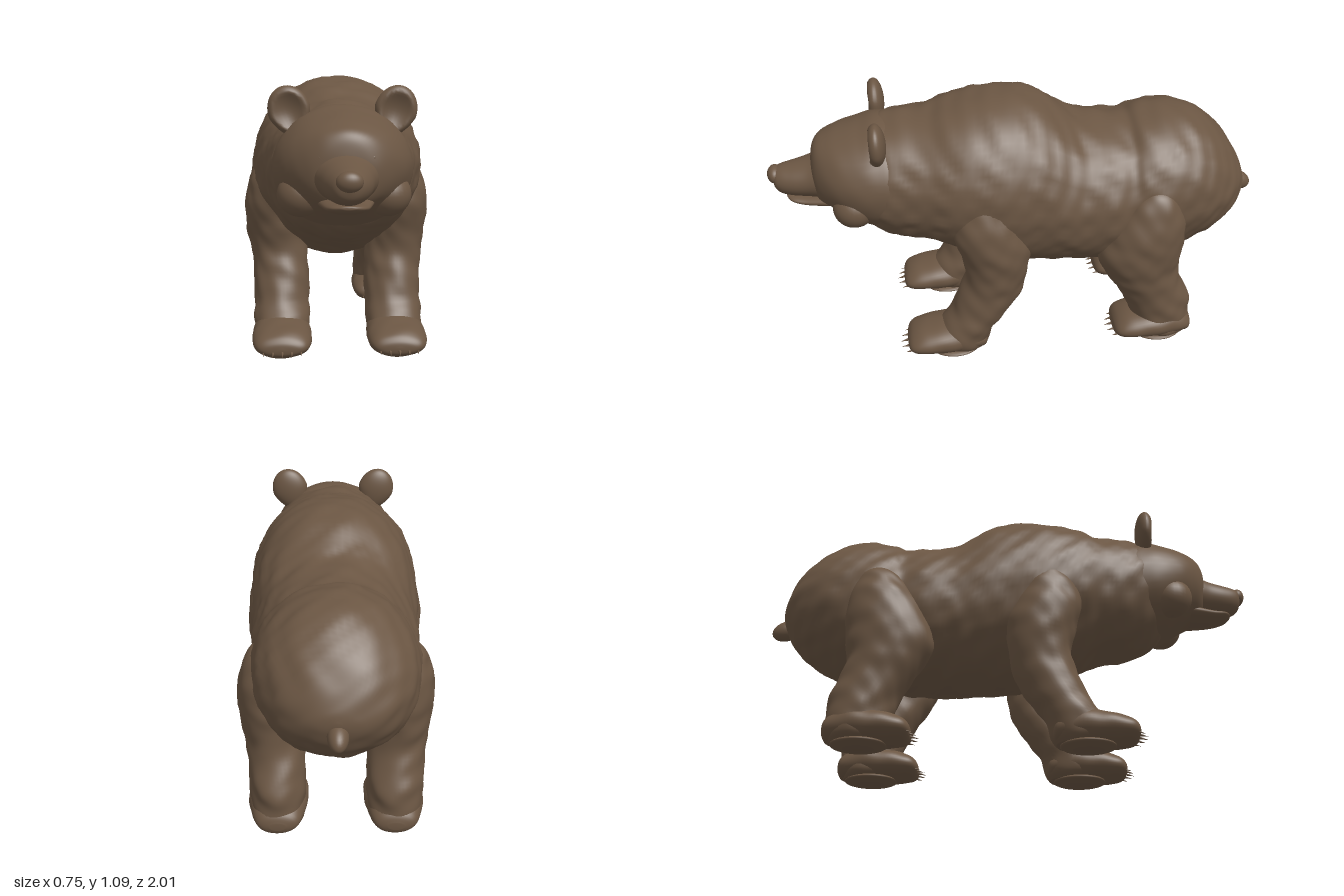
import * as THREE from 'three';

const fur = new THREE.MeshStandardMaterial({ color: 0x6b5643 });
fur.name = 'brown fur';

// Smooth blend between the rows of a section table
function sampleRows(rows, t) {
  const f = t * (rows.length - 1), i = Math.min(Math.floor(f), rows.length - 2), u = f - i;
  const at = k => rows[Math.max(0, Math.min(rows.length - 1, k))];
  return rows[0].map((_, c) => {
    const a = at(i - 1)[c], b = at(i)[c], d = at(i + 1)[c], e = at(i + 2)[c];
    return b + 0.5 * u * (d - a + u * (2 * a - 5 * b + 4 * d - e + u * (3 * (b - d) + e - a)));
  });
}

// Gentle clumps in the coat
function clump(x, y, z) {
  return Math.sin(31 * x + 17 * z + 2 * Math.sin(19 * y)) * Math.sin(27 * y - 13 * z) * 0.6
    + Math.sin(61 * z + 23 * x) * Math.sin(53 * y + 37 * x) * 0.4;
}

// Skin over oval sections. Row: [station, low, high, centre x, half width].
// Along 'z' low/high are heights; along 'y' they are back/front depths.
function loft(axis, rows, rough = 0.006, steps = 6, sides = 48) {
  const n = (rows.length - 1) * steps, pos = [], index = [];
  for (let i = 0; i <= n; i++) {
    const [s, lo, hi, cx, hw] = sampleRows(rows, i / n);
    const mid = (lo + hi) / 2, half = Math.max(0.001, (hi - lo) / 2), w = Math.max(0.001, hw);
    for (let j = 0; j < sides; j++) {
      const a = j / sides * Math.PI * 2, c = Math.cos(a), d = Math.sin(a);
      const x = cx + w * c, q = mid + half * d * (axis === 'z' ? 1 : -1);
      const p = axis === 'z' ? [x, q, s] : [x, s, q];
      const k = rough * clump(...p) * Math.min(1, half / 0.06);
      p[0] += k * c;
      p[axis === 'z' ? 1 : 2] += k * d * (axis === 'z' ? 1 : -1);
      pos.push(...p);
    }
  }
  for (let i = 0; i < n; i++) for (let j = 0; j < sides; j++) {
    const a = i * sides + j, b = i * sides + (j + 1) % sides;
    index.push(a, b, a + sides, b, b + sides, a + sides);
  }
  // Close both ends
  [[0, 0], [n, 1]].forEach(([row, end]) => {
    const [s, lo, hi, cx] = rows[end ? rows.length - 1 : 0], m = (lo + hi) / 2, v = pos.length / 3;
    pos.push(cx, axis === 'z' ? m : s, axis === 'z' ? s : m);
    for (let j = 0; j < sides; j++) {
      const a = row * sides + j, b = row * sides + (j + 1) % sides;
      end ? index.push(a, b, v) : index.push(b, a, v);
    }
  });
  const g = new THREE.BufferGeometry();
  g.setAttribute('position', new THREE.Float32BufferAttribute(pos, 3));
  g.setIndex(index);
  // Rows given in falling order turn the faces over
  if (rows[0][0] > rows[rows.length - 1][0]) {
    for (let i = 0; i < index.length; i += 3) [index[i], index[i + 1]] = [index[i + 1], index[i]];
    g.setIndex(index);
  }
  g.computeVertexNormals();
  return g;
}

export function createModel() {
  const bear = new THREE.Group();
  bear.name = 'bear';
  const add = (name, geometry, parent = bear) => {
    const m = new THREE.Mesh(geometry, fur);
    m.name = name;
    parent.add(m);
    return m;
  };
  const ball = (name, x, y, z, rx, ry, rz, parent = bear) => {
    const m = add(name, new THREE.SphereGeometry(1, 28, 18), parent);
    m.position.set(x, y, z);
    m.scale.set(rx, ry, rz);
    return m;
  };

  // Rump, belly, shoulder hump and neck ruff
  add('body', loft('z', [
    [-0.955, 0.64, 0.66, 0, 0.01], [-0.945, 0.6, 0.7, 0, 0.08], [-0.91, 0.53, 0.78, 0, 0.16],
    [-0.85, 0.465, 0.865, 0, 0.225], [-0.77, 0.415, 0.935, 0, 0.275], [-0.68, 0.375, 0.975, 0, 0.302],
    [-0.58, 0.355, 0.985, 0, 0.312], [-0.49, 0.345, 0.972, 0, 0.31], [-0.44, 0.335, 0.95, 0, 0.308],
    [-0.36, 0.33, 0.952, 0, 0.322], [-0.25, 0.328, 0.965, 0, 0.325], [-0.18, 0.33, 1.0, 0, 0.328],
    [-0.08, 0.338, 1.065, 0, 0.335], [0.04, 0.35, 1.088, 0, 0.34], [0.16, 0.39, 1.078, 0, 0.337],
    [0.28, 0.44, 1.05, 0, 0.318], [0.37, 0.475, 1.018, 0, 0.292], [0.47, 0.485, 1.012, 0, 0.272],
    [0.56, 0.52, 0.99, 0, 0.245], [0.62, 0.565, 0.92, 0, 0.18], [0.65, 0.62, 0.82, 0, 0.08],
    [0.655, 0.68, 0.74, 0, 0.01]], 0.008, 6, 72));
  const tail = ball('tail', 0, 0.605, -0.945, 0.038, 0.042, 0.065);
  tail.rotation.x = -0.35;

  // Head with a steep forehead, muzzle and jaw
  add('head', loft('z', [
    [0.4, 0.6, 0.92, 0, 0.2], [0.48, 0.55, 0.985, 0, 0.25], [0.56, 0.545, 1.003, 0, 0.256],
    [0.63, 0.572, 0.985, 0, 0.248], [0.7, 0.612, 0.967, 0, 0.222], [0.75, 0.638, 0.95, 0, 0.187],
    [0.79, 0.655, 0.93, 0, 0.142], [0.812, 0.68, 0.9, 0, 0.1], [0.822, 0.73, 0.85, 0, 0.05],
    [0.825, 0.78, 0.8, 0, 0.005]], 0.002));
  add('muzzle', loft('z', [
    [0.68, 0.67, 0.87, 0, 0.13], [0.78, 0.675, 0.86, 0, 0.118], [0.84, 0.68, 0.838, 0, 0.098],
    [0.9, 0.685, 0.822, 0, 0.083], [0.945, 0.695, 0.812, 0, 0.066], [0.97, 0.715, 0.8, 0, 0.046],
    [0.98, 0.745, 0.775, 0, 0.01]], 0));
  add('jaw', loft('z', [
    [0.66, 0.64, 0.72, 0, 0.12], [0.76, 0.642, 0.71, 0, 0.1], [0.85, 0.647, 0.695, 0, 0.078],
    [0.905, 0.66, 0.692, 0, 0.06], [0.928, 0.672, 0.688, 0, 0.03], [0.932, 0.678, 0.682, 0, 0.004]], 0));
  ball('nose', 0, 0.775, 0.97, 0.046, 0.036, 0.03);

  for (const s of [1, -1]) {
    const side = s > 0 ? 'left' : 'right';
    ball(side + 'Cheek', s * 0.155, 0.69, 0.66, 0.085, 0.08, 0.085);
    ball(side + 'Eye', s * 0.09, 0.835, 0.798, 0.014, 0.015, 0.014);

    // Cupped round ear: the front half of a flat ball is pressed in
    const cup = new THREE.SphereGeometry(1, 32, 24), p = cup.attributes.position;
    for (let i = 0; i < p.count; i++) {
      const x = p.getX(i), y = p.getY(i), z = p.getZ(i);
      if (z > 0) p.setZ(i, z - 0.9 * Math.max(0, 1 - 1.7 * (x * x + y * y)));
      if (y < 0) p.setX(i, x * (1 + 0.25 * y));
    }
    cup.computeVertexNormals();
    const ear = add(side + 'Ear', cup);
    ear.position.set(s * 0.192, 0.978, 0.558);
    ear.scale.set(0.078, 0.094, 0.04);
    ear.rotation.z = -s * 0.3;

    // Legs run upward from the ankle
    const x = c => s * c;
    add(side + 'FrontLeg', loft('y', [
      [0.02, 0.17, 0.32, x(0.225), 0.07], [0.05, 0.145, 0.36, x(0.225), 0.1],
      [0.12, 0.125, 0.36, x(0.225), 0.11], [0.2, 0.065, 0.305, x(0.225), 0.11],
      [0.3, 0.005, 0.265, x(0.226), 0.112], [0.4, -0.015, 0.235, x(0.235), 0.115],
      [0.5, -0.025, 0.255, x(0.25), 0.116], [0.6, 0, 0.28, x(0.26), 0.106],
      [0.7, 0.04, 0.26, x(0.255), 0.09], [0.77, 0.08, 0.22, x(0.25), 0.06],
      [0.8, 0.14, 0.16, x(0.24), 0.005]]));
    add(side + 'HindLeg', loft('y', [
      [0.02, -0.7, -0.52, x(0.225), 0.07], [0.05, -0.72, -0.49, x(0.225), 0.1],
      [0.13, -0.716, -0.462, x(0.225), 0.108], [0.2, -0.712, -0.435, x(0.226), 0.11],
      [0.28, -0.675, -0.39, x(0.23), 0.113], [0.36, -0.65, -0.34, x(0.24), 0.115],
      [0.43, -0.655, -0.31, x(0.25), 0.116], [0.52, -0.66, -0.335, x(0.26), 0.112],
      [0.61, -0.655, -0.38, x(0.266), 0.1], [0.69, -0.63, -0.43, x(0.265), 0.077],
      [0.74, -0.59, -0.48, x(0.26), 0.05], [0.765, -0.54, -0.52, x(0.25), 0.005]]));

    // Paws with sole pads and five claws each
    for (const [end, dz] of [['Front', 0], ['Hind', -0.875]]) {
      const paw = new THREE.Group();
      paw.name = side + end + 'Paw';
      paw.position.set(s * 0.225, 0, dz);
      bear.add(paw);
      add('foot', loft('z', [
        [0.15, 0.05, 0.08, 0, 0.03], [0.17, 0.025, 0.12, 0, 0.08], [0.25, 0.012, 0.165, 0, 0.108],
        [0.34, 0.012, 0.152, 0, 0.115], [0.42, 0.018, 0.134, 0, 0.113], [0.462, 0.026, 0.115, 0, 0.1],
        [0.483, 0.04, 0.09, 0, 0.07], [0.488, 0.058, 0.068, 0, 0.01]], 0.003), paw);
      ball('solePad', 0, 0.018, 0.29, 0.092, 0.018, 0.11, paw);
      for (let i = -2; i <= 2; i++) {
        const claw = add('claw', new THREE.ConeGeometry(0.011, 0.065, 10), paw);
        claw.position.set(i * 0.036, 0.053, 0.489 - 0.005 * i * i);
        claw.rotation.x = Math.PI / 2 + 0.25;
      }
    }
  }
  return bear;
}
